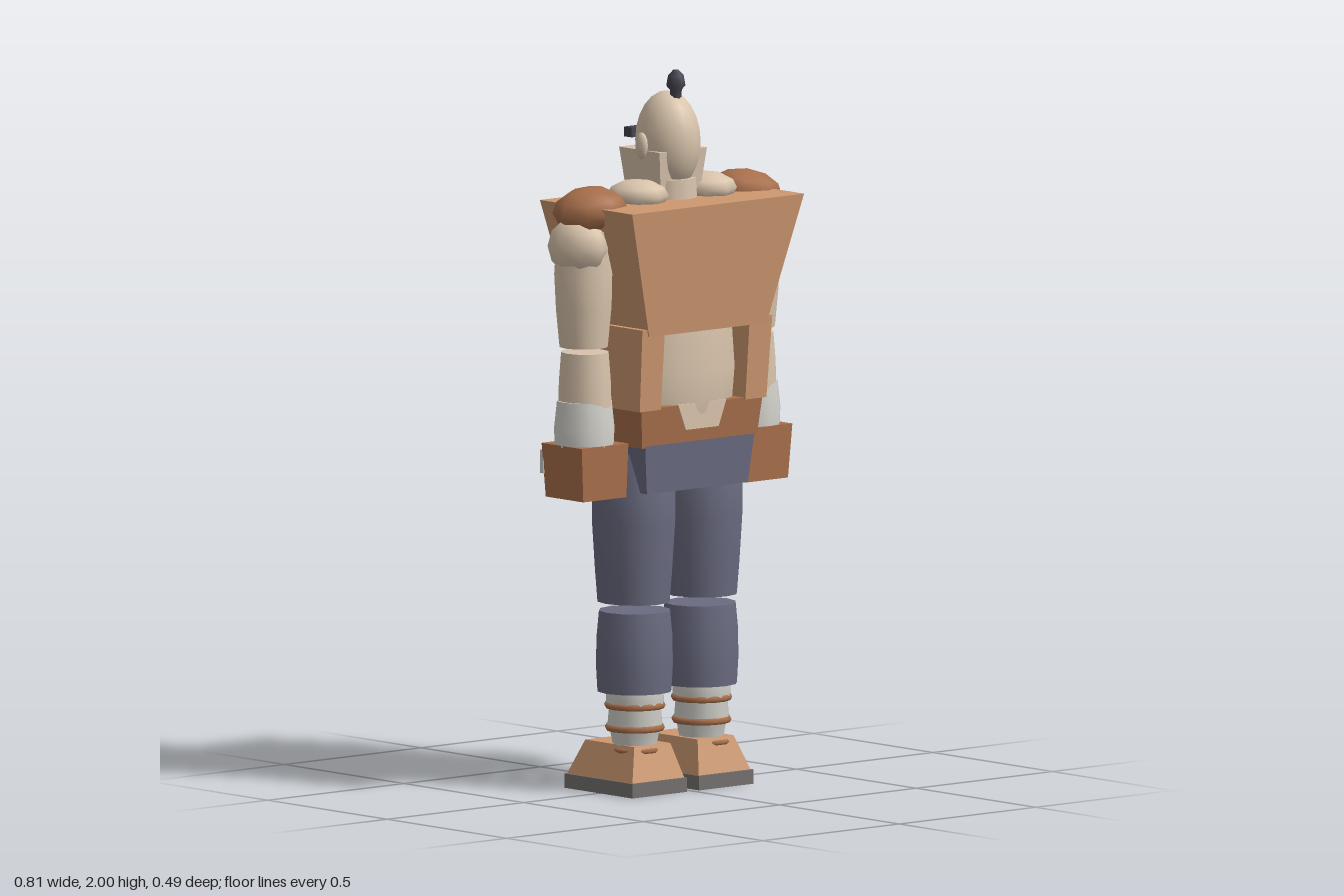
import * as THREE from 'three';

const paint = (name, color) => {
  const m = new THREE.MeshStandardMaterial({ color });
  m.name = name;
  return m;
};

export function createModel() {
  const root = new THREE.Group();
  root.name = 'figure';
  const skin = paint('skin', 0xd9c4ac), tan = paint('tan leather', 0xcd9870);
  const brown = paint('brown leather', 0xa86f4b), blue = paint('blue cloth', 0x6a6b80);
  const wrap = paint('pale wrap', 0xd3d2cb), dark = paint('dark hair', 0x45434f);
  const grey = paint('grey sole', 0x757070);

  const add = (name, geo, mat, x = 0, y = 0, z = 0) => {
    const mesh = new THREE.Mesh(geo, mat);
    mesh.name = name;
    mesh.position.set(x, y, z);
    root.add(mesh);
    return mesh;
  };

  // Box between two heights; bottom and top are [x0, x1, z0, z1]
  const taper = (name, mat, y0, y1, bottom, top = bottom) => {
    const geo = new THREE.BoxGeometry(1, 1, 1);
    const p = geo.attributes.position;
    for (let i = 0; i < p.count; i++) {
      const up = p.getY(i) > 0, r = up ? top : bottom;
      p.setXYZ(i, p.getX(i) < 0 ? r[0] : r[1], up ? y1 : y0, p.getZ(i) < 0 ? r[2] : r[3]);
    }
    geo.computeVertexNormals();
    return add(name, geo, mat);
  };

  // Low-poly smooth ellipsoid
  const blob = (name, mat, [x, y, z], [rx, ry, rz], w = 10, h = 8) => {
    const geo = new THREE.SphereGeometry(1, w, h);
    geo.scale(rx, ry, rz);
    return add(name, geo, mat, x, y, z);
  };

  // Turned limb with flat caps; rings are [radius, y] from bottom to top
  const limb = (name, mat, x, z, rings, sx = 1, sz = 1, sides = 12) => {
    const pts = rings.map(([r, y]) => new THREE.Vector2(r, y));
    const geo = new THREE.LatheGeometry(pts, sides);
    geo.scale(sx, 1, sz);
    add(name, geo, mat, x, 0, z);
    for (const [i, turn] of [[0, 1], [rings.length - 1, -1]]) {
      const cap = new THREE.CircleGeometry(rings[i][0], sides);
      cap.rotateX(turn * Math.PI / 2);
      cap.scale(sx, 1, sz);
      add(name + 'Cap', cap, mat, x, rings[i][1], z);
    }
  };

  const band = (name, x, y, z, r, tube) => {
    const geo = new THREE.TorusGeometry(r, tube, 6, 14);
    geo.rotateX(Math.PI / 2);
    add(name, geo, brown, x, y, z);
  };

  // Head, jaw and hair
  blob('head', skin, [0, 1.80, 0.033], [0.085, 0.14, 0.098], 14, 12);
  taper('jaw', skin, 1.66, 1.78, [-0.072, 0.072, -0.06, 0.085], [-0.087, 0.087, -0.072, 0.097]);
  limb('neck', skin, 0, 0.04, [[0.08, 1.6], [0.075, 1.7]]);
  taper('brow', dark, 1.805, 1.832, [-0.06, 0.06, -0.083, -0.05]);
  taper('moustache', dark, 1.742, 1.766, [-0.052, 0.052, -0.093, -0.06]);
  blob('beard', dark, [0, 1.685, -0.045], [0.058, 0.05, 0.045], 8, 6);
  limb('topKnot', dark, 0, 0.066, [[0.015, 1.92], [0.017, 1.945], [0.027, 1.957], [0.022, 1.985], [0.008, 2.0]], 1, 1, 6);

  // Vest, chest opening and torso
  taper('vest', tan, 1.29, 1.645, [-0.215, 0.215, -0.11, 0.2], [-0.315, 0.315, -0.143, 0.243]);
  taper('chest', skin, 1.28, 1.64, [-0.118, 0.118, -0.114, -0.1], [-0.118, 0.118, -0.146, -0.13]);
  limb('waist', skin, 0, 0.035, [[0.17, 0.99], [0.2, 1.06], [0.21, 1.17], [0.2, 1.3]], 1, 0.72, 16);
  blob('belly', skin, [0, 1.14, -0.088], [0.195, 0.2, 0.155], 12, 10);
  blob('navel', dark, [0, 1.095, -0.236], [0.012, 0.013, 0.007], 6, 5);

  // Belt with a dipped back, and hanging ends
  taper('belt', brown, 0.975, 1.085, [-0.21, 0.21, -0.115, 0.165], [-0.222, 0.222, -0.12, 0.175]);
  const dip = new THREE.Shape([[-0.06, 1.015], [0.06, 1.015], [0.088, 1.087], [-0.088, 1.087]]
    .map(([x, y]) => new THREE.Vector2(x, y)));
  const dipGeo = new THREE.ExtrudeGeometry(dip, { depth: 0.006, bevelEnabled: false });
  add('beltDip', dipGeo, skin, 0, 0, 0.171);
  taper('beltEnd', brown, 0.77, 0.99, [0.075, 0.115, -0.13, -0.112]);
  taper('beltEnd', brown, 0.81, 0.99, [0.025, 0.068, -0.126, -0.112]);

  // Hips
  taper('hips', blue, 0.845, 0.98, [-0.185, 0.185, -0.088, 0.156], [-0.2, 0.2, -0.095, 0.166]);

  for (const s of [-1, 1]) {
    // Mirrored tapered box, ranges given for the +x side
    const side = (name, mat, y0, y1, b, t = b) => {
      const flip = ([x0, x1, z0, z1]) => (s > 0 ? [x0, x1, z0, z1] : [-x1, -x0, z0, z1]);
      return taper(name, mat, y0, y1, flip(b), flip(t));
    };

    blob('ear', skin, [s * 0.092, 1.793, 0.028], [0.014, 0.038, 0.022], 8, 6);
    blob('neckMuscle', skin, [s * 0.125, 1.662, 0.05], [0.08, 0.044, 0.092], 8, 6);
    blob('pectoral', skin, [s * 0.091, 1.475, -0.125], [0.088, 0.066, 0.049], 10, 8);
    side('suspender', brown, 1.25, 1.62, [0.117, 0.157, -0.148, -0.1]);
    side('vestSide', tan, 1.08, 1.31, [0.155, 0.232, -0.118, 0.18], [0.155, 0.238, -0.115, 0.198]);

    // Arm
    blob('shoulderPad', brown, [s * 0.283, 1.632, 0.03], [0.103, 0.064, 0.106], 8, 6).rotation.z = -s * 0.15;
    blob('deltoid', skin, [s * 0.325, 1.535, 0.032], [0.08, 0.085, 0.095], 8, 6);
    limb('upperArm', skin, s * 0.306, 0.03, [[0.068, 1.255], [0.078, 1.36], [0.083, 1.46], [0.075, 1.58]]);
    limb('forearm', skin, s * 0.302, 0.03, [[0.073, 1.09], [0.071, 1.16], [0.065, 1.24]], 1, 1.08);
    limb('cuff', wrap, s * 0.304, 0.03, [[0.083, 0.98], [0.085, 1.03], [0.077, 1.105]]);
    side('glove', brown, 0.835, 0.985, [0.217, 0.375, -0.05, 0.107], [0.215, 0.386, -0.055, 0.113]);
    side('knucklePlate', wrap, 0.9, 0.965, [0.217, 0.383, -0.065, -0.05]);

    // Leg
    limb('thigh', blue, s * 0.123, 0.03, [[0.1, 0.53], [0.107, 0.62], [0.115, 0.75], [0.115, 0.84], [0.1, 0.95]], 1, 1.05);
    limb('trouserShin', blue, s * 0.12, 0.03, [[0.104, 0.28], [0.108, 0.35], [0.107, 0.43], [0.1, 0.505]]);
    limb('ankleWrap', wrap, s * 0.122, 0.034, [[0.06, 0.12], [0.07, 0.175], [0.078, 0.18], [0.073, 0.235], [0.082, 0.245], [0.08, 0.29]]);
    band('legStrap', s * 0.122, 0.242, 0.034, 0.076, 0.01);
    band('legStrap', s * 0.122, 0.18, 0.034, 0.074, 0.01);
    band('shoeCord', s * 0.13, 0.12, 0.05, 0.058, 0.007);

    // Shoe
    side('shoe', tan, 0.038, 0.135, [0.026, 0.217, -0.143, 0.132], [0.05, 0.182, -0.105, 0.1]);
    side('sole', grey, 0, 0.04, [0.022, 0.222, -0.147, 0.138]);
  }
  return root;
}
